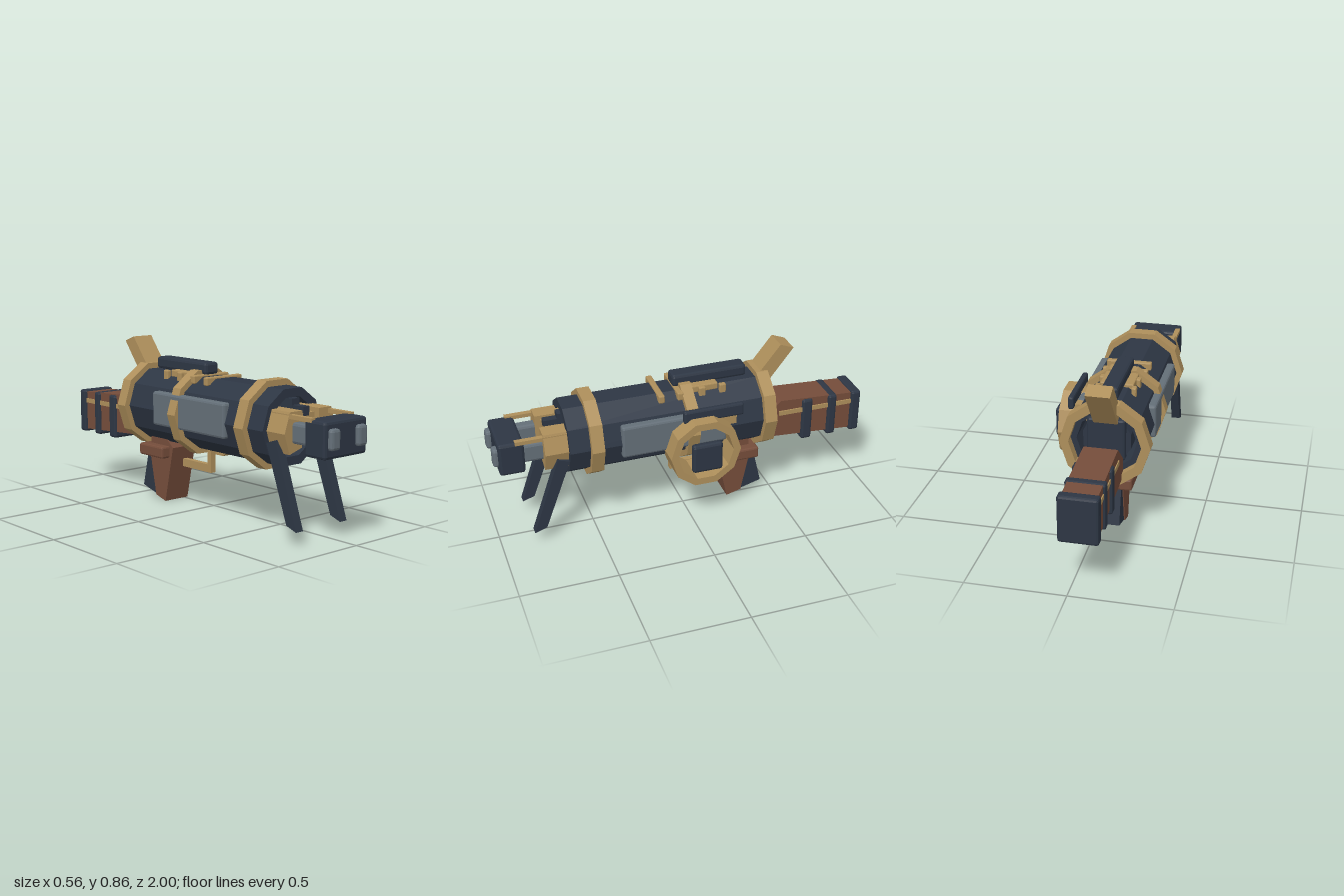
import * as THREE from 'three';
import { RoundedBoxGeometry } from 'three/addons/geometries/RoundedBoxGeometry.js';

const CX = -0.055, CY = 0.515; // barrel axis

export function createModel() {
  const model = new THREE.Group();
  const material = (name, color) => {
    const m = new THREE.MeshStandardMaterial({ color });
    m.name = name;
    return m;
  };
  const steel = material('dark steel', 0x2d3644);
  const brass = material('brass', 0xae8f5b);
  const wood = material('wood', 0x754d3b);
  const grey = material('grey metal', 0x646f78);

  const add = (name, mat, geo) => {
    const mesh = new THREE.Mesh(geo, mat);
    mesh.name = name;
    model.add(mesh);
    return mesh;
  };

  // Box from its limits, with an optional chamfer
  const box = (name, mat, [x0, x1], [y0, y1], [z0, z1], r = 0) => {
    const s = [x1 - x0, y1 - y0, z1 - z0];
    const geo = r ? new RoundedBoxGeometry(...s, 1, r) : new THREE.BoxGeometry(...s);
    geo.computeVertexNormals();
    geo.translate((x0 + x1) / 2, (y0 + y1) / 2, (z0 + z1) / 2);
    return add(name, mat, geo);
  };

  // Side profile of [z, y] points, extruded across x
  const slab = (name, mat, points, x0, x1) => {
    const shape = new THREE.Shape(points.map(p => new THREE.Vector2(...p)));
    const geo = new THREE.ExtrudeGeometry(shape, { depth: x1 - x0, bevelEnabled: false });
    geo.rotateY(-Math.PI / 2).translate(x1, 0, 0);
    return add(name, mat, geo);
  };

  // Ten-sided prism along z, hollow when an inner radius is given
  const decagon = (R, turn = 0) => Array.from({ length: 10 }, (_, i) => {
    const a = turn + i * Math.PI / 5;
    return new THREE.Vector2(R * Math.cos(a), R * Math.sin(a));
  });
  const prism = (R, inner, depth, turn = 0) => {
    const shape = new THREE.Shape(decagon(R, turn));
    if (inner) shape.holes.push(new THREE.Path(decagon(inner, turn)));
    return new THREE.ExtrudeGeometry(shape, { depth, bevelEnabled: false });
  };
  const along = (name, mat, R, inner, z0, z1, turn) =>
    add(name, mat, prism(R, inner, z1 - z0, turn).translate(CX, CY, z0));

  // Main body, core and bands
  along('bodyTube', steel, 0.195, 0.15, -0.41, 0.63);
  along('core', steel, 0.125, 0, -0.4, 0.56, Math.PI / 10);
  for (const [name, z0, z1] of [['frontBand', 0.46, 0.525], ['middleBand', -0.04, 0.02], ['rearBand', -0.46, -0.395]])
    along(name, brass, 0.226, 0.18, z0, z1);
  box('breechBlock', steel, [-0.15, 0.04], [0.42, 0.64], [-0.43, -0.38], 0.012);

  // Parts mirrored about the barrel axis
  for (const s of [-1, 1]) {
    const span = (a, b) => s > 0 ? [CX + a, CX + b] : [CX - b, CX - a];
    box('sidePanel', grey, span(0.15, 0.202), [0.44, 0.615], [-0.19, 0.365], 0.012);
    box('barrel', grey, span(0.06, 0.12), [0.465, 0.565], [0.55, 1], 0.014);
    box('topRail', brass, span(0.115, 0.142), [0.585, 0.605], [0.55, 0.89]);
    const cheek = new THREE.Shape([[0.055, -0.075], [0.137, -0.1], [0.17, 0], [0.137, 0.1], [0.055, 0.1]]
      .map(([x, y]) => new THREE.Vector2(s * x, y)));
    add('muzzleCheek', brass, new THREE.ExtrudeGeometry(cheek, { depth: 0.2, bevelEnabled: false })
      .translate(CX, CY, 0.55));
    slab('bipodLeg', steel, [[0.63, 0.46], [0.768, 0.09], [0.832, 0.068], [0.69, 0.48]].reverse(),
      ...span(0.125, 0.171));
    for (const z of [-0.2, -0.09])
      box('topStud', brass, span(0.08, 0.105), [0.65, 0.715], [z - 0.018, z + 0.018], 0.006);
    box('stockStripe', brass, span(0.08, 0.09), [0.455, 0.48], [-0.95, -0.53]);
  }

  // Muzzle block and front sight
  box('muzzleBlock', steel, [-0.195, 0.085], [0.422, 0.597], [0.845, 0.975], 0.014);
  box('muzzleDeck', brass, [-0.11, 0], [0.5, 0.595], [0.5, 0.72]);
  box('frontSight', steel, [-0.08, -0.03], [0.59, 0.655], [0.55, 0.65]);
  box('frontSightStep', steel, [-0.075, -0.035], [0.58, 0.625], [0.64, 0.72]);

  // Top handle and its mounts
  box('topHandle', steel, [-0.098, -0.012], [0.707, 0.77], [-0.35, 0.05], 0.014);
  box('handleBase', grey, [-0.09, -0.02], [0.685, 0.73], [-0.18, 0.042]);
  box('topPlate', brass, [-0.14, 0.03], [0.68, 0.718], [-0.18, 0], 0.006);
  for (const z of [0.03, 0.13])
    box('crossBar', brass, [-0.172, 0.062], [0.668, 0.71], [z - 0.016, z + 0.016], 0.006);

  // Tilted rear lever
  slab('rearLever', brass, [[-0.435, 0.62], [-0.37, 0.662], [-0.53, 0.863], [-0.603, 0.835]], -0.115, 0.005);

  // Side drum with hub and latch
  add('sideDrum', brass, prism(0.187, 0.148, 0.187).rotateY(Math.PI / 2).translate(0.053, 0.44, -0.046));
  box('drumHub', steel, [0.24, 0.28], [0.36, 0.518], [-0.122, 0.038], 0.014);
  box('latch', steel, [0.145, 0.175], [0.592, 0.66], [-0.27, 0.05], 0.01);
  box('latchMount', brass, [0.09, 0.15], [0.535, 0.61], [-0.24, -0.02]);

  // Trigger guard
  box('guardPost', brass, [-0.07, -0.04], [0.197, 0.34], [0.03, 0.058]);
  box('guardBar', brass, [-0.07, -0.04], [0.197, 0.238], [-0.17, 0.055]);

  // Grip
  slab('gripFront', wood, [[-0.245, 0.002], [-0.18, 0.3], [-0.24, 0.35], [-0.36, 0.35], [-0.37, 0.24], [-0.325, 0.024]].reverse(), -0.13, 0.022);
  slab('gripBack', steel, [[-0.315, 0.025], [-0.36, 0.25], [-0.395, 0.25], [-0.44, 0.06]].reverse(), -0.125, 0.017);
  box('gripCollar', wood, [-0.18, 0.07], [0.242, 0.305], [-0.405, -0.21], 0.01);

  // Stock with bands and butt pad
  slab('stock', wood, [[-0.43, 0.335], [-0.99, 0.3], [-0.99, 0.515], [-0.54, 0.54], [-0.43, 0.44]].reverse(), -0.14, 0.028);
  for (const [name, z0, z1] of [['stockBand', -0.72, -0.66], ['stockBand', -0.86, -0.81], ['buttPad', -1, -0.945]])
    box(name, steel, [-0.153, 0.042], [0.287, 0.526], [z0, z1], 0.012);

  return model;
}
